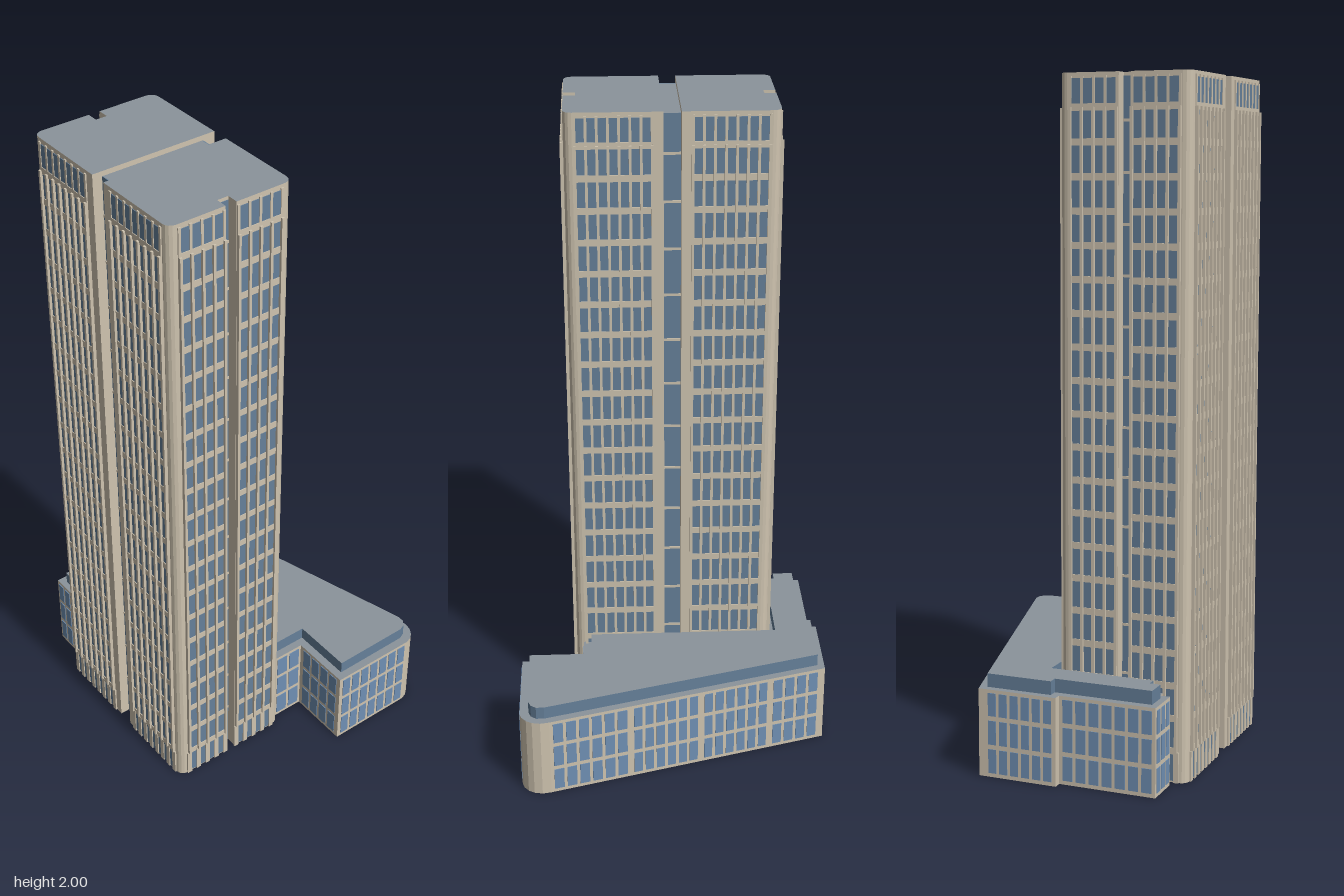
import * as THREE from 'three';
import { mergeGeometries } from 'three/addons/utils/BufferGeometryUtils.js';

const material = (name, color) => {
  const m = new THREE.MeshStandardMaterial({ color, side: THREE.DoubleSide });
  m.name = name;
  return m;
};

export function createModel() {
  const model = new THREE.Group();
  model.name = 'officeTower';
  const stone = material('beige stone', 0xcfc4b0);
  const towerGlass = material('slate blue glass', 0x66809a);
  const podiumGlass = material('blue glass', 0x7090b4);
  const roofGrey = material('roof grey', 0x8b949b);

  const add = (name, geometry, mat, parent = model) => {
    const mesh = new THREE.Mesh(geometry, mat);
    mesh.name = name;
    parent.add(mesh);
    return mesh;
  };

  // Box given by its limits
  const box = (x0, x1, y0, y1, z0, z1) =>
    new THREE.BoxGeometry(x1 - x0, y1 - y0, z1 - z0)
      .translate((x0 + x1) / 2, (y0 + y1) / 2, (z0 + z1) / 2);

  // Upright walls along an [x, z] outline, open at top and bottom
  const walls = (name, pts, y0, y1, mat, closed) => {
    const pos = [];
    const n = closed ? pts.length : pts.length - 1;
    for (let i = 0; i < n; i++) {
      const [ax, az] = pts[i], [bx, bz] = pts[(i + 1) % pts.length];
      pos.push(ax, y0, az, bx, y0, bz, bx, y1, bz, ax, y0, az, bx, y1, bz, ax, y1, az);
    }
    const g = new THREE.BufferGeometry();
    g.setAttribute('position', new THREE.Float32BufferAttribute(pos, 3));
    g.computeVertexNormals();
    add(name, g, mat);
  };

  const roof = (name, pts, y) => {
    const shape = new THREE.Shape(pts.map(([x, z]) => new THREE.Vector2(x, -z)));
    add(name, new THREE.ShapeGeometry(shape).rotateX(-Math.PI / 2).translate(0, y, 0), roofGrey);
  };

  // Group whose x runs from a to b and whose z points out of the wall
  const onWall = (name, a, b) => {
    const g = new THREE.Group();
    g.name = name;
    g.position.set(a[0], 0, a[1]);
    g.rotation.y = Math.atan2(a[1] - b[1], b[0] - a[0]);
    model.add(g);
    return [g, Math.hypot(b[0] - a[0], b[1] - a[1])];
  };

  // Tower facade: glass sheet, floor bands, projecting fins
  const FLOOR = 0.0953;
  const towerFacade = (name, a, b, bays) => {
    const [g, len] = onWall(name, a, b);
    add('glazing', box(0, len, 0.005, 1.984, -0.001, 0.002), towerGlass, g);
    const bands = [], fins = [];
    for (let k = 1; k <= 20; k++) {
      bands.push(box(0, len, k * FLOOR - 0.011, k * FLOOR + 0.009, 0, 0.004));
    }
    for (let i = 0; i <= bays; i++) {
      const x = (len * i) / bays;
      fins.push(box(x - 0.004, x + 0.004, 0.09, 1.905, 0, 0.01));
      fins.push(box(x - 0.008, x + 0.008, 0, 0.09, 0, 0.005));
      fins.push(box(x - 0.004, x + 0.004, 1.905, 1.99, 0, 0.004));
    }
    add('floorBands', mergeGeometries(bands), stone, g);
    add('fins', mergeGeometries(fins), stone, g);
  };

  // Recessed glass strip with thin marker bars
  const glassStrip = (name, a, b, top) => {
    const [g, len] = onWall(name, a, b);
    add('stripGlass', box(0, len, 0, top, -0.001, 0.002), towerGlass, g);
    const bars = [];
    for (let y = 0.153; y < 1.9; y += 0.143) bars.push(box(0, len, y - 0.004, y + 0.004, 0, 0.004));
    add('stripBars', mergeGeometries(bars), stone, g);
  };

  // Rounded corner of an outline, quarter circle about (cx, cz)
  const corner = (cx, cz, r, from) => [0, 1, 2, 3, 4].map((i) => {
    const t = from - (i * Math.PI) / 8;
    return [cx + r * Math.cos(t), cz + r * Math.sin(t)];
  });

  // Two tower halves, mirrored across the central gap
  for (const flip of [false, true]) {
    const side = flip ? 'back' : 'front';
    const P = ([x, z]) => [x, flip ? -0.011 - z : z];
    const outline = [
      [-0.412, 0.02],
      ...corner(-0.387, 0.277, 0.025, Math.PI),
      [-0.235, 0.302], [-0.235, 0.267], [-0.2, 0.267], [-0.2, 0.302],
      ...corner(-0.045, 0.277, 0.025, Math.PI / 2),
      [-0.02, 0.02],
    ].map(P);
    if (flip) outline.reverse();
    walls(side + 'TowerWalls', outline, 0, 2, stone, true);
    roof(side + 'TowerRoof', outline, 2);
    const ends = (a, b) => (flip ? [P(b), P(a)] : [P(a), P(b)]);
    towerFacade(side + 'FacadeWest', ...ends([-0.38, 0.302], [-0.24, 0.302]), 4);
    towerFacade(side + 'FacadeEast', ...ends([-0.195, 0.302], [-0.055, 0.302]), 4);
    towerFacade(side + 'SideEast', ...ends([-0.02, 0.27], [-0.02, 0.052]), 7);
    towerFacade(side + 'SideWest', ...ends([-0.412, 0.052], [-0.412, 0.27]), 7);
    glassStrip(side + 'Notch', ...ends([-0.235, 0.267], [-0.2, 0.267]), 1.99);
  }

  // Narrow core joining the halves
  glassStrip('coreEast', [-0.06, 0.02], [-0.06, -0.031], 1.985);
  glassStrip('coreWest', [-0.38, -0.031], [-0.38, 0.02], 1.985);
  roof('coreRoof', [[-0.38, 0.02], [-0.06, 0.02], [-0.06, -0.031], [-0.38, -0.031]], 1.985);

  // Podium: walls wrap round the tower's east and back
  const podium = [
    [-0.02, 0.28], [0.085, 0.28], [0.085, 0.475], [0.365, 0.475], [0.385, 0.469], [0.402, 0.455],
    [0.413, 0.437], [0.418, 0.412], [0.413, 0.385], [0.165, -0.477], [-0.077, -0.477],
    [-0.077, -0.452], [-0.37, -0.452], [-0.37, -0.338], [-0.34, -0.338], [-0.34, -0.313],
  ];
  walls('podiumWalls', podium, 0, 0.26, stone, false);
  roof('podiumTerrace', [...podium, [-0.02, -0.313]], 0.26);

  // Set-back upper storey
  const upper = [
    [0, 0.255], [0.11, 0.255], [0.11, 0.45], [0.36, 0.448], [0.38, 0.44], [0.392, 0.424],
    [0.392, 0.4], [0.147, -0.455], [-0.053, -0.455], [-0.053, -0.427], [-0.35, -0.427],
    [-0.35, -0.362], [-0.318, -0.362], [-0.318, -0.335], [0, -0.335],
  ];
  walls('upperStoreyGlass', upper, 0.26, 0.3, towerGlass, true);
  roof('upperStoreyRoof', upper, 0.3);

  // Podium windows: three rows of panes on each wall
  const podiumWindows = (name, a, b, count, m0 = 0.012, m1 = m0) => {
    const [g, len] = onWall(name, a, b);
    const step = (len - m0 - m1) / count;
    const panes = [];
    for (let i = 0; i < count; i++) {
      for (const [y0, y1] of [[0.012, 0.083], [0.097, 0.168], [0.182, 0.25]]) {
        const x = m0 + i * step;
        panes.push(box(x + 0.005, x + step - 0.005, y0, y1, -0.001, 0.002));
      }
    }
    add('panes', mergeGeometries(panes), podiumGlass, g);
  };
  podiumWindows('frontSetbackWindows', podium[0], podium[1], 2, 0.004);
  podiumWindows('westReturnWindows', podium[1], podium[2], 4);
  podiumWindows('frontWindows', podium[2], podium[3], 7, 0.008, 0.004);
  const slope = (t) => [0.413 - 0.248 * t, 0.385 - 0.862 * t];
  const stops = [0, 0.285, 0.54, 0.795, 0.985];
  [6, 6, 6, 4].forEach((n, i) =>
    podiumWindows('eastWindows' + (i + 1), slope(stops[i]), slope(stops[i + 1]), n, 0.006));
  podiumWindows('backEastWindows', podium[9], podium[10], 6, 0.025, 0.008);
  podiumWindows('backWestWindows', podium[11], podium[12], 7, 0.006);
  podiumWindows('westEndWindows', podium[12], podium[13], 3, 0.004);

  return model;
}
